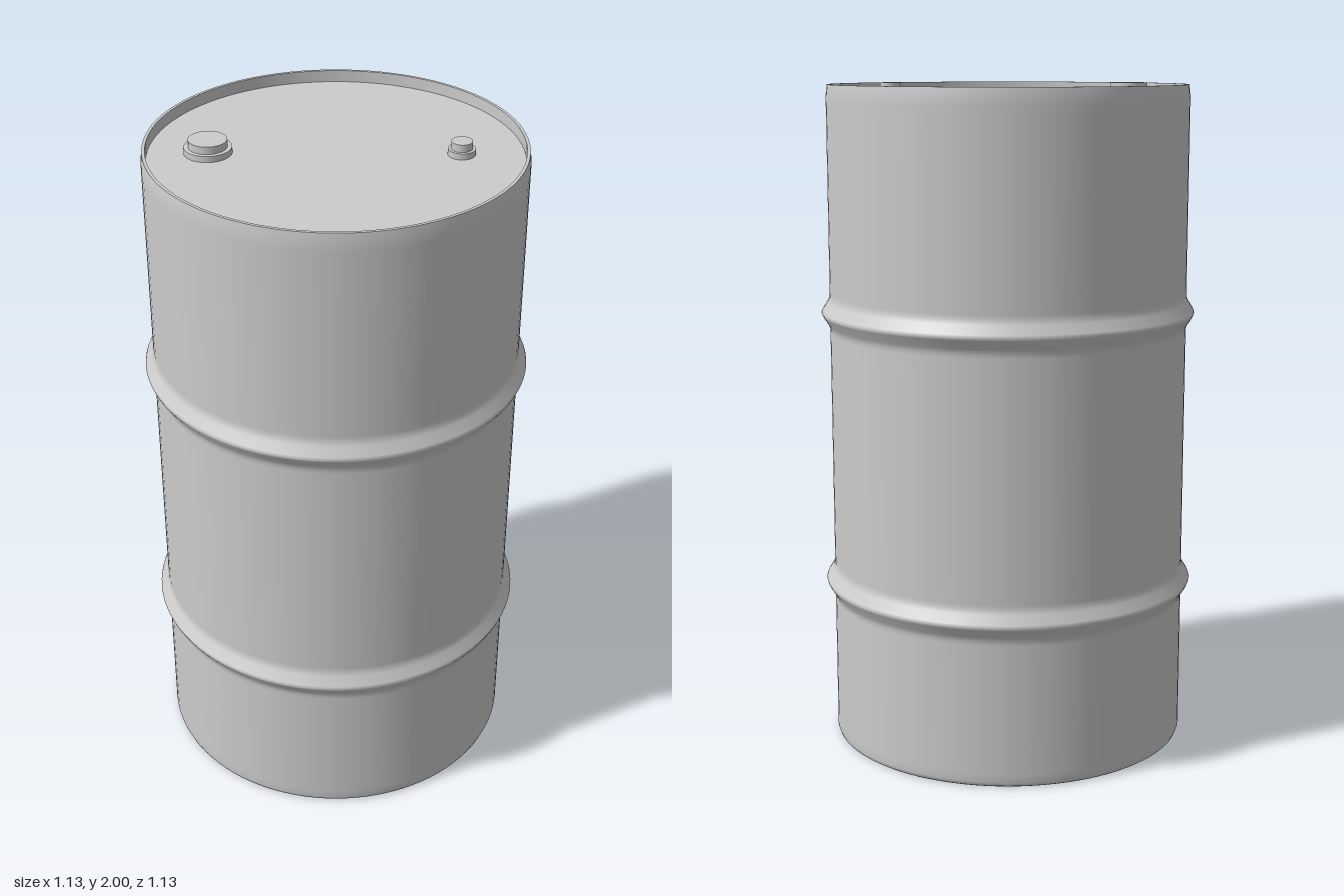
import * as THREE from 'three';

const material = new THREE.MeshStandardMaterial({ color: 0xcccccc });

// Revolved part; the profile runs up the outside and in over the top
function revolve(name, profile, segments = 96) {
  const points = profile.map(([r, y]) => new THREE.Vector2(r, y));
  const mesh = new THREE.Mesh(new THREE.LatheGeometry(points, segments), material);
  mesh.name = name;
  return mesh;
}

// Rolling hoop: soft V-shaped swelling around height y
function hoop(y) {
  return [
    [0.54, y - 0.06], [0.54, y - 0.048], [0.545, y - 0.034], [0.562, y - 0.008],
    [0.565, y], [0.562, y + 0.008], [0.545, y + 0.034], [0.54, y + 0.048], [0.54, y + 0.06],
  ];
}

// Screw plug: wide flange with a narrower raised cap, each face kept sharp
function plug(name, x, z, capRadius, flangeRadius) {
  const group = new THREE.Group();
  group.name = name;
  const part = (partName, radius, bottom, top) => {
    const mesh = new THREE.Mesh(
      new THREE.CylinderGeometry(radius, radius, top - bottom, 40), material);
    mesh.position.y = (bottom + top) / 2;
    mesh.name = partName;
    group.add(mesh);
  };
  part('plugFlange', flangeRadius, 1.955, 1.978);
  part('plugCap', capRadius, 1.97, 2);
  group.position.set(x, 0, z);
  return group;
}

export function createModel() {
  const drum = new THREE.Group();
  drum.name = 'drum';

  // Base and wall with a rounded lower edge and two hoops
  drum.add(revolve('base', [[0, 0], [0.53, 0]]));
  drum.add(revolve('wall', [
    [0.53, 0], [0.536, 0.004], [0.54, 0.015], [0.54, 0.04],
    ...hoop(0.49), ...hoop(1.32),
    [0.54, 1.94], [0.54, 1.96], [0.538, 1.98], [0.536, 1.995],
  ]));

  // Rolled rim, its inner face, and the sunken lid
  drum.add(revolve('rimTop', [[0.536, 1.995], [0.527, 1.995]]));
  drum.add(revolve('rimInside', [[0.527, 1.995], [0.527, 1.96]]));
  drum.add(revolve('lid', [[0.527, 1.96], [0, 1.96]]));

  // Large filling plug and small vent plug on opposite sides of the lid
  drum.add(plug('fillPlug', -0.285, -0.215, 0.055, 0.068));
  drum.add(plug('ventPlug', 0.295, 0.187, 0.03, 0.039));
  return drum;
}
